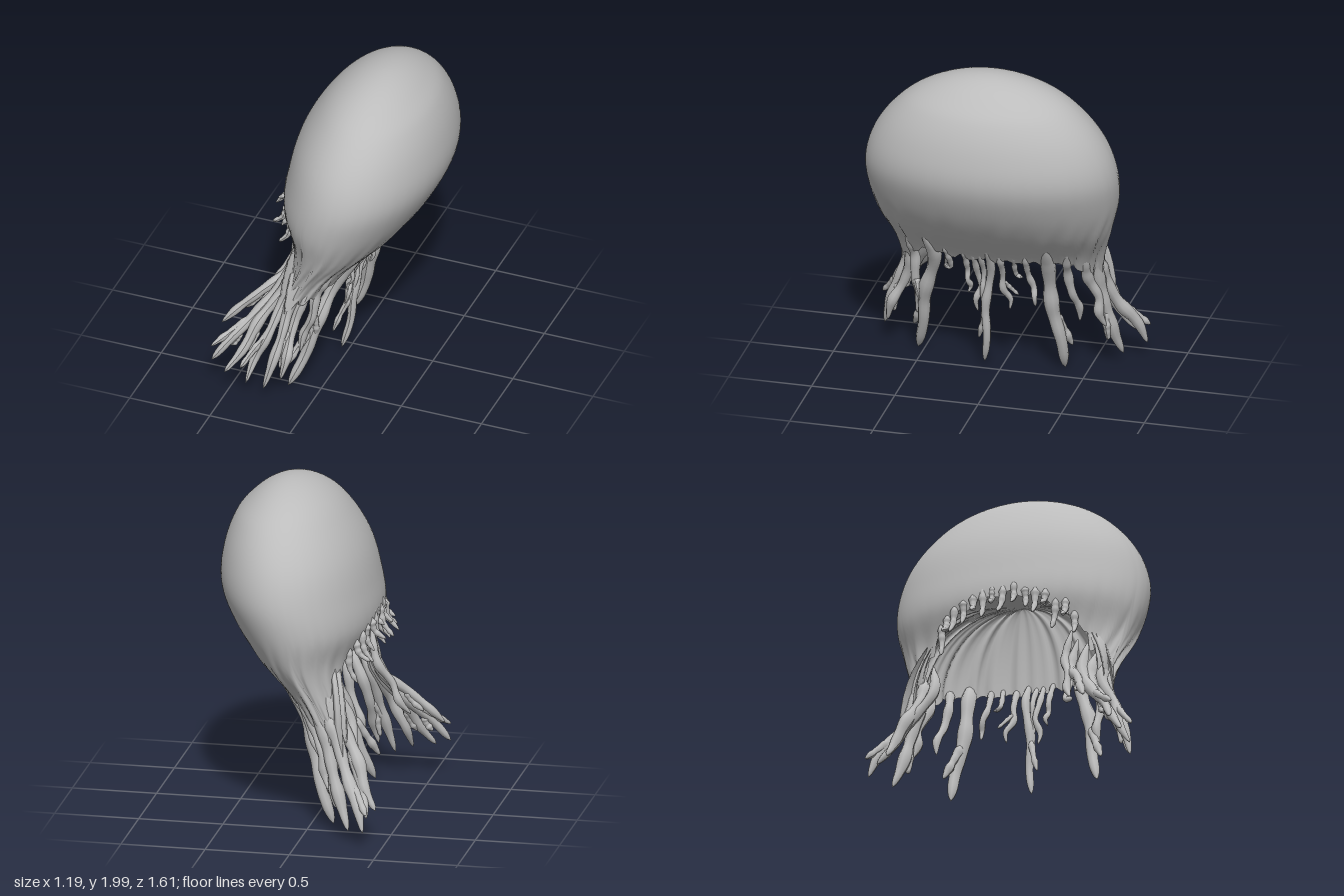
import * as THREE from 'three';

const flesh = new THREE.MeshStandardMaterial({ color: 0xbcbcbc, side: THREE.DoubleSide });
flesh.name = 'grey flesh';

// Bell slices: height, centre x, half width in x, half width in z
const SLICES = [
  [2.0, 0.2, 0, 0], [1.9, 0.187, 0.235, 0.39], [1.8, 0.185, 0.325, 0.53], [1.6, 0.163, 0.418, 0.685],
  [1.4, 0.139, 0.449, 0.75], [1.2, 0.085, 0.418, 0.745], [1.0, 0.045, 0.315, 0.69],
  [0.8, -0.055, 0.225, 0.625], [0.6, -0.155, 0.215, 0.605], [0.4, -0.26, 0.23, 0.66],
];
// Lower edge of the bell against cos(angle), high on the -x side
const RIM = [[-1, 1.2], [-0.85, 1.06], [-0.6, 0.84], [-0.4, 0.7], [0, 0.62], [0.4, 0.67], [0.75, 0.77], [1, 0.77]];

// Smooth interpolation through a table of [key, value...] rows, keys rising
function sample(rows, key, col) {
  let i = 0;
  while (i < rows.length - 2 && key > rows[i + 1][0]) i++;
  const slope = (k) => {
    const a = rows[Math.max(k - 1, 0)], b = rows[Math.min(k + 1, rows.length - 1)];
    return (b[col] - a[col]) / (b[0] - a[0]);
  };
  const [a, b] = [rows[i], rows[i + 1]];
  const h = b[0] - a[0], t = THREE.MathUtils.clamp((key - a[0]) / h, 0, 1), t2 = t * t, t3 = t2 * t;
  return a[col] * (2 * t3 - 3 * t2 + 1) + b[col] * (3 * t2 - 2 * t3)
    + h * (slope(i) * (t3 - 2 * t2 + t) + slope(i + 1) * (t3 - t2));
}

// Square-root depth keeps the crown round
const profile = SLICES.map(([y, ...r]) => [Math.sqrt(2 - y), ...r]);

// Point on the bell surface at an angle and height, rippled near the bottom
function shell(a, y, inset = 1) {
  const s = Math.sqrt(Math.max(2 - y, 0));
  const low = THREE.MathUtils.smoothstep(s, 0.88, 1.12);
  const k = inset * (1 + low * (0.014 * Math.sin(19 * a + 5 * y) + 0.012 * Math.sin(31 * a + y * 19)));
  return new THREE.Vector3(
    sample(profile, s, 1) + k * sample(profile, s, 2) * Math.cos(a), y,
    0.012 + k * sample(profile, s, 3) * Math.sin(a));
}

// Ragged lower edge, torn deepest where the arms hang; the back arm stays whole longest
function rimHeight(a) {
  const c = Math.cos(a), arm = Math.exp(-((c + 0.2) ** 2) / 0.1);
  const tear = 0.022 + 0.09 * arm;
  const whole = Math.sin(a) < 0 ? 0.07 * arm : 0;
  return sample(RIM, c, 1) - whole + tear * (0.6 * Math.sin(27 * a) + 0.4 * Math.sin(43 * a + 1));
}

// Closed-around grid from point(angle, v)
function loft(rows, cols, point) {
  const pos = [], index = [];
  for (let i = 0; i <= rows; i++) {
    for (let j = 0; j < cols; j++) pos.push(...point(j / cols * Math.PI * 2, i / rows).toArray());
  }
  for (let i = 0; i < rows; i++) {
    for (let j = 0; j < cols; j++) {
      const a = i * cols + j, d = i * cols + (j + 1) % cols;
      index.push(a, d, a + cols, d, d + cols, a + cols);
    }
  }
  const g = new THREE.BufferGeometry();
  g.setAttribute('position', new THREE.Float32BufferAttribute(pos, 3));
  g.setIndex(index);
  g.computeVertexNormals();
  return g;
}

// Tapered tube that swells out of its root, with a lumpy radius and rounded tip
function strand(curve, rootRadius, radius, seed) {
  const segs = 30, sides = 9;
  const g = new THREE.TubeGeometry(curve, segs, 1, sides, false);
  const p = g.attributes.position, v = new THREE.Vector3();
  for (let i = 0; i <= segs; i++) {
    const t = i / segs, centre = curve.getPointAt(t);
    let r = radius + (rootRadius - radius) * Math.pow(1 - t, 2);
    r *= 1 + 0.1 * Math.sin(t * 15 + seed) + 0.07 * Math.sin(t * 29 + seed * 2);
    r *= Math.min(1, 0.2 + t / 0.25) * (Math.sqrt(Math.min(1, (1 - t) / 0.2)) * 0.97 + 0.03);
    for (let j = 0; j <= sides; j++) {
      const k = i * (sides + 1) + j;
      v.fromBufferAttribute(p, k).sub(centre).multiplyScalar(r).add(centre);
      p.setXYZ(k, v.x, v.y, v.z);
    }
  }
  g.computeVertexNormals();
  return g;
}

// Long tentacles: root angle in degrees, root height, tip x, y, z, radius, side branches
const FRONT_ARM = [
  [40, 0.92, -0.19, 0.01, 0.54, 0.036, 1], [62, 0.88, -0.12, 0.26, 0.53, 0.026, 1],
  [78, 0.84, -0.17, 0.17, 0.72, 0.028, 1], [95, 0.84, -0.26, 0.11, 0.76, 0.028, 1],
  [108, 0.84, -0.36, 0.14, 0.785, 0.028, 1], [120, 0.86, -0.5, 0.17, 0.77, 0.03, 1],
  [130, 0.9, -0.595, 0.21, 0.73, 0.03, 2], [138, 0.92, -0.595, 0.37, 0.57, 0.026, 1],
  [144, 0.98, -0.42, 0.45, 0.44, 0.022, 0],
];
const BACK_ARM = [
  [-34, 0.92, -0.13, 0.01, -0.36, 0.038, 1], [-48, 0.88, -0.12, 0.32, -0.45, 0.024, 0],
  [-65, 0.84, -0.15, 0.29, -0.6, 0.027, 0], [-82, 0.82, -0.28, 0.07, -0.67, 0.034, 1],
  [-100, 0.82, -0.39, 0.1, -0.785, 0.034, 1], [-115, 0.82, -0.44, 0.2, -0.66, 0.034, 0],
  [-128, 0.86, -0.4, 0.17, -0.73, 0.028, 0],
];
const MIDDLE = [
  [2, 0.88, -0.03, 0.04, 0.1, 0.026, 1], [17, 0.86, 0.04, 0.5, 0.18, 0.017, 0],
  [11, 0.86, 0, 0.37, 0.13, 0.018, 0], [7, 0.86, 0.02, 0.41, 0.08, 0.016, 0],
  [-5, 0.86, 0, 0.4, -0.06, 0.019, 1], [-21, 0.86, 0.02, 0.45, -0.22, 0.019, 0],
  [-14, 0.86, 0.07, 0.65, -0.16, 0.015, 0], [29, 0.86, 0.09, 0.68, 0.31, 0.017, 0],
];

function tentacleGroup(name, table, rootScale, inset) {
  const group = new THREE.Group();
  group.name = name;
  const add = (geometry, part) => {
    const m = new THREE.Mesh(geometry, flesh);
    m.name = part;
    group.add(m);
  };
  table.forEach(([deg, y, tx, ty, tz, r, branches], n) => {
    const a = THREE.MathUtils.degToRad(deg), tip = new THREE.Vector3(tx, ty, tz);
    const root = shell(a, y, inset), below = shell(a, y - 0.2, inset + 0.02);
    const wobble = (t, s) => below.clone().lerp(tip, t)
      .add(new THREE.Vector3(0.015 * Math.sin(n * 2.3 + s), 0, 0.017 * Math.cos(n * 1.7 + s)));
    const curve = new THREE.CatmullRomCurve3([root, below, wobble(0.4, 0), wobble(0.72, 2), tip]);
    add(strand(curve, r * rootScale, r, n), 'tentacle');
    // Side branches fork off the lower half
    for (let b = 0; b < branches; b++) {
      const from = curve.getPointAt(0.55 + 0.16 * b), side = (n + b) % 2 ? 1 : -1;
      const end = from.clone().lerp(tip, 0.75)
        .add(new THREE.Vector3(0.055 * side, 0.03, -0.05 * side * Math.sign(tz)));
      const mid = from.clone().lerp(end, 0.5).add(new THREE.Vector3(0.012 * side, -0.01, 0));
      add(strand(new THREE.CatmullRomCurve3([from, mid, end]), r * 0.8, r * 0.62, n + 3), 'tentacleBranch');
    }
  });
  return group;
}

export function createModel() {
  const model = new THREE.Group();
  model.name = 'jellyfish';

  // Domed bell
  const bell = new THREE.Mesh(loft(48, 200, (a, v) => shell(a, 2 - (2 - rimHeight(a)) * v * v)), flesh);
  bell.name = 'bell';

  // Hollow underside rising from the rim
  const apex = new THREE.Vector3(0.1, 1.3, 0.012);
  const underside = new THREE.Mesh(loft(14, 200, (a, v) => {
    const p = shell(a, rimHeight(a)), w = v * Math.PI / 2;
    const q = apex.clone().lerp(p, Math.cos(w));
    q.y = p.y + (apex.y - p.y) * Math.sin(w);
    return q;
  }), flesh);
  underside.name = 'underside';
  model.add(bell, underside);

  model.add(tentacleGroup('frontTentacles', FRONT_ARM, 1.35, 0.93));
  model.add(tentacleGroup('backTentacles', BACK_ARM, 1.35, 0.93));
  model.add(tentacleGroup('middleTentacles', MIDDLE, 1.05, 0.9));

  // Short fringe along the raised edge
  const fringe = new THREE.Group();
  fringe.name = 'fringe';
  for (let k = 0; k < 15; k++) {
    const a = THREE.MathUtils.degToRad(145 + k * 5), y = rimHeight(a);
    const root = shell(a, y + 0.07, 0.97);
    const tip = root.clone().add(new THREE.Vector3(
      -0.07 - 0.025 * Math.sin(k * 2.1), -0.17 - 0.05 * Math.sin(k * 3.7), 0.015 * Math.cos(k * 5)));
    const mid = root.clone().lerp(tip, 0.5).add(new THREE.Vector3(0.02, -0.02, 0));
    const m = new THREE.Mesh(strand(new THREE.CatmullRomCurve3([root, mid, tip]), 0.032, 0.014, k), flesh);
    m.name = 'fringeTentacle';
    fringe.add(m);
  }
  model.add(fringe);
  return model;
}
